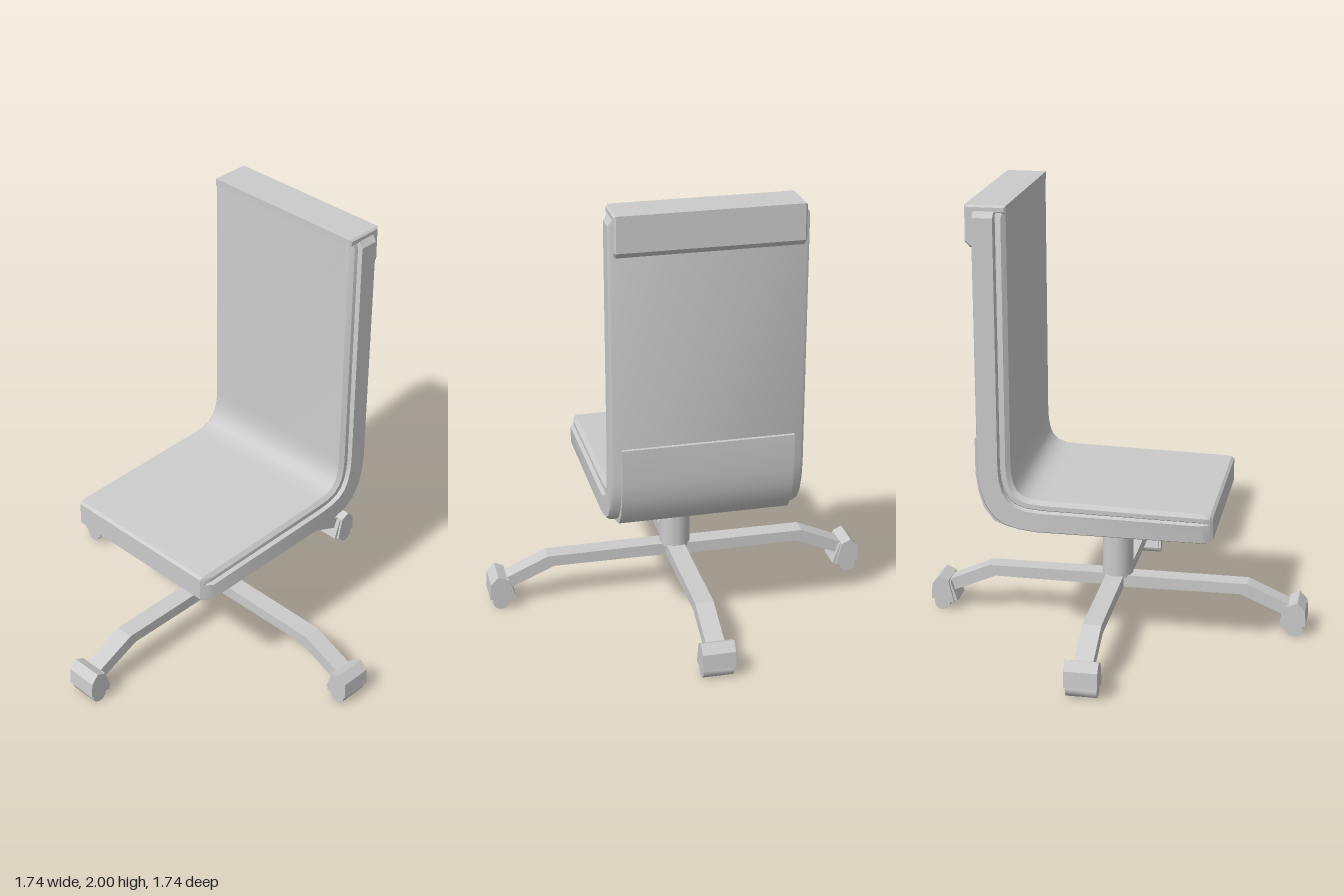
import * as THREE from 'three';
import { toCreasedNormals } from 'three/addons/utils/BufferGeometryUtils.js';

const MAT = new THREE.MeshStandardMaterial({ color: 0xcccccc });
const CX = -0.005, BASE_Z = -0.005, SEAT_Z = -0.025;

function addMesh(parent, name, geometry, crease = 0.6) {
  const mesh = new THREE.Mesh(toCreasedNormals(geometry, crease), MAT);
  mesh.name = name;
  parent.add(mesh);
  return mesh;
}

// Side profile extruded evenly about z = 0, with an optional chamfer
function extrudeProfile(points, width, bevel = 0) {
  const shape = new THREE.Shape(points.map(([x, y]) => new THREE.Vector2(x, y)));
  const depth = width - 2 * bevel;
  return new THREE.ExtrudeGeometry(shape, {
    depth, bevelEnabled: bevel > 0, bevelThickness: bevel,
    bevelSize: bevel, bevelOffset: -bevel, bevelSegments: 1,
  }).translate(0, 0, -depth / 2);
}

// L-shaped shell: stepped cross-section swept along outer/inner station pairs
function shellGeometry() {
  // [outer x, outer y, inner x, inner y, largest half width]
  const stations = [
    [-0.49, 0.575, -0.49, 0.68, 0.385],
    [-0.475, 0.566, -0.478, 0.69, 0.397],
    [-0.44, 0.564, -0.44, 0.693, 0.42],
    [0.28, 0.566, 0.25, 0.708, 0.42],
    [0.36, 0.575, 0.31, 0.713, 0.42],
    [0.425, 0.593, 0.345, 0.726, 0.42],
    [0.47, 0.625, 0.37, 0.749, 0.42],
    [0.507, 0.68, 0.384, 0.78, 0.42],
    [0.53, 0.75, 0.392, 0.82, 0.42],
    [0.539, 0.83, 0.395, 0.87, 0.42],
    [0.54, 1.95, 0.395, 1.95, 0.42],
    [0.54, 1.995, 0.397, 1.995, 0.385],
  ];
  // [fraction from outer to inner face, half width]
  const half = [
    [0, 0.405], [0.06, 0.42], [0.65, 0.42], [0.69, 0.396],
    [0.73, 0.405], [0.87, 0.405], [1, 0.388],
  ];
  const section = [...half, ...half.map(([t, w]) => [t, -w]).reverse()];
  const n = section.length, pos = [], idx = [];
  for (const [ox, oy, ix, iy, limit] of stations) {
    for (const [t, w] of section) {
      const z = THREE.MathUtils.clamp(w, -limit, limit);
      pos.push(ox + (ix - ox) * t, oy + (iy - oy) * t, z);
    }
  }
  const last = stations.length - 1;
  for (let i = 0; i < last; i++) {
    for (let j = 0; j < n; j++) {
      const a = i * n + j, b = i * n + (j + 1) % n;
      idx.push(a, a + n, b, b, a + n, b + n);
    }
  }
  // End caps fan out from a middle point
  for (const i of [0, last]) {
    const [ox, oy, ix, iy] = stations[i];
    const c = pos.length / 3;
    pos.push((ox + ix) / 2, (oy + iy) / 2, 0);
    for (let j = 0; j < n; j++) {
      const a = i * n + j, b = i * n + (j + 1) % n;
      idx.push(c, ...(i === 0 ? [a, b] : [b, a]));
    }
  }
  const g = new THREE.BufferGeometry();
  g.setAttribute('position', new THREE.Float32BufferAttribute(pos, 3));
  g.setIndex(idx);
  return g;
}

// One leg of the base, pointing along +x, with its caster
function createLeg() {
  const leg = new THREE.Group();
  leg.name = 'baseLeg';
  addMesh(leg, 'legArm', extrudeProfile([
    [-0.03, 0.173], [0.57, 0.177], [0.785, 0.085], [0.81, 0.135], [0.6, 0.228], [-0.03, 0.23],
  ], 0.083), 0.3);
  addMesh(leg, 'casterCollar', extrudeProfile([
    [0.75, 0.045], [0.79, 0.045], [0.82, 0.135], [0.782, 0.14],
  ], 0.125), 0.3);
  addMesh(leg, 'casterHousing', extrudeProfile([
    [0.765, 0.04], [0.872, 0.055], [0.867, 0.128], [0.832, 0.166], [0.79, 0.146],
  ], 0.146), 0.3);
  const wheel = new THREE.CylinderGeometry(0.038, 0.038, 0.135, 12).rotateX(Math.PI / 2);
  addMesh(leg, 'casterWheel', wheel.translate(0.822, 0.038, 0));
  leg.children.forEach((m) => { m.position.z = 0.007; });
  return leg;
}

export function createModel() {
  const chair = new THREE.Group();
  chair.name = 'swivelChair';

  // Seat and backrest
  const upper = new THREE.Group();
  upper.name = 'seatAndBack';
  upper.position.z = SEAT_Z;
  chair.add(upper);
  addMesh(upper, 'seatShell', shellGeometry());

  // Cap folded over the top of the backrest
  addMesh(upper, 'headCap', extrudeProfile([
    [0.393, 1.965], [0.393, 2.0], [0.57, 2.0], [0.572, 1.845],
    [0.55, 1.82], [0.525, 1.82], [0.525, 1.965],
  ], 0.8, 0.008), 0.3);

  // Thin panel wrapped round the lower back corner
  addMesh(upper, 'lowerBackPanel', extrudeProfile([
    [0.555, 0.97], [0.555, 0.81], [0.543, 0.73], [0.52, 0.655], [0.472, 0.593], [0.41, 0.572],
    [0.325, 0.557], [0.32, 0.58], [0.4, 0.61], [0.46, 0.66], [0.51, 0.77], [0.525, 0.97],
  ], 0.75));

  // Pedestal
  const column = new THREE.CylinderGeometry(0.07, 0.07, 0.36, 32);
  addMesh(chair, 'column', column.translate(CX, 0.4, BASE_Z));

  // Four-legged base
  const base = new THREE.Group();
  base.name = 'base';
  base.position.set(CX, 0, BASE_Z);
  chair.add(base);
  for (let i = 0; i < 4; i++) {
    const leg = createLeg();
    leg.rotation.y = (i * Math.PI) / 2;
    base.add(leg);
  }
  return chair;
}
